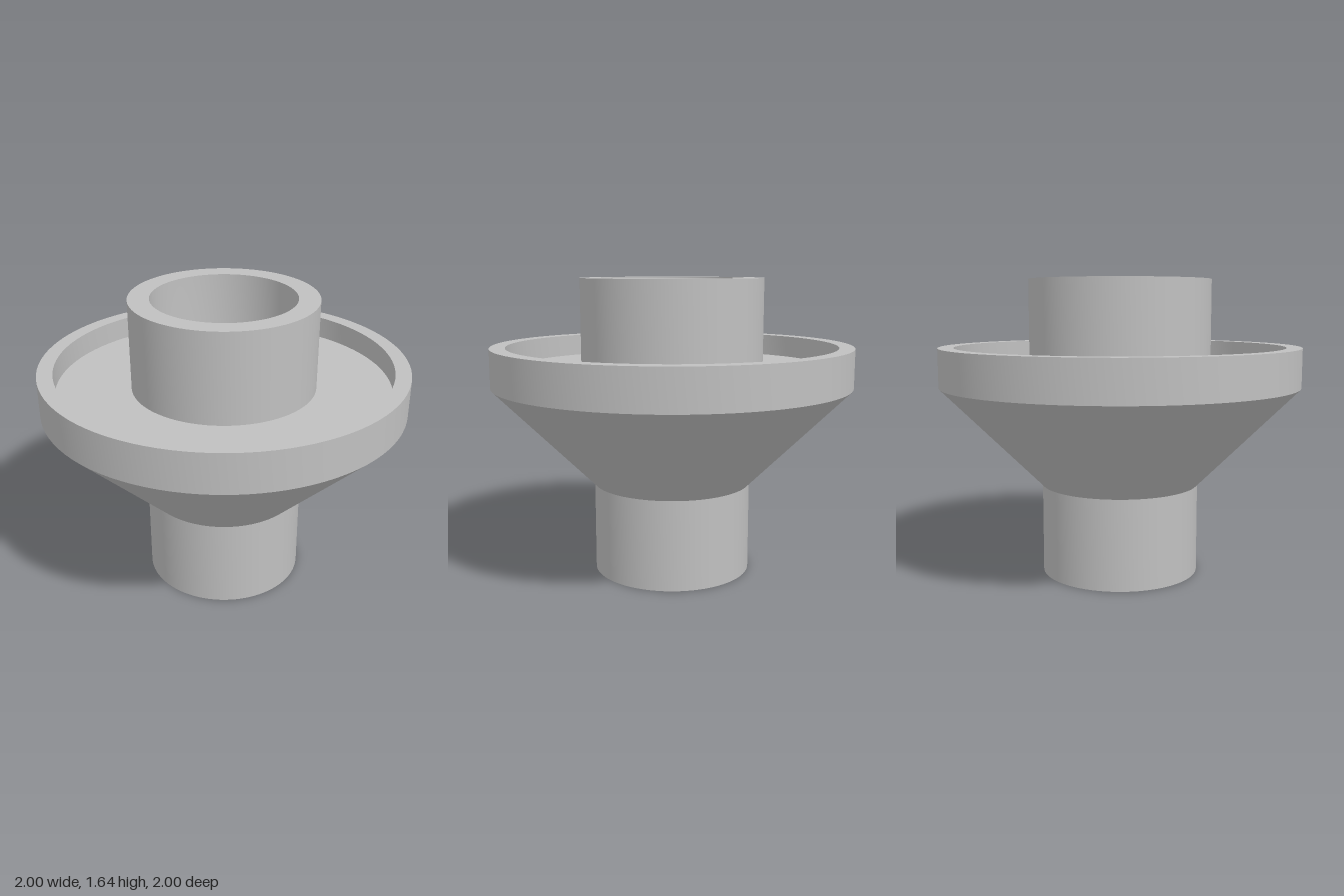
import * as THREE from 'three';
import { toCreasedNormals } from 'three/addons/utils/BufferGeometryUtils.js';

const SEGMENTS = 96;

// Revolves a profile of [radius, height] points, keeping its corners sharp.
function revolve(name, profile, material) {
  const points = profile.map(([r, y]) => new THREE.Vector2(r, y));
  const geometry = toCreasedNormals(new THREE.LatheGeometry(points, SEGMENTS), Math.PI / 6);
  const mesh = new THREE.Mesh(geometry, material);
  mesh.name = name;
  return mesh;
}

export function createModel() {
  const model = new THREE.Group();
  model.name = 'flangedFitting';
  const grey = new THREE.MeshStandardMaterial({ color: 0xc0c0c0 });
  grey.name = 'plain grey';

  // Lower tube with its blind bore, from the inside out
  model.add(revolve('lowerTube', [
    [0, 0.42], [0.33, 0.42], [0.33, 0], [0.44, 0], [0.44, 0.5],
  ], grey));

  // Conical body, rim and the shallow recess inside the rim
  model.add(revolve('conicalDish', [
    [0.44, 0.5], [1, 1.06], [1, 1.275], [0.915, 1.275], [0.915, 1.15], [0.505, 1.15],
  ], grey));

  // Upper collar
  model.add(revolve('upperCollar', [
    [0.505, 1.15], [0.505, 1.645], [0.39, 1.645],
  ], grey));

  // Upper bore, narrowing towards its floor
  model.add(revolve('upperBore', [
    [0.39, 1.645], [0.39, 1.15], [0.335, 0.5], [0.335, 0.48], [0, 0.48],
  ], grey));

  return model;
}
